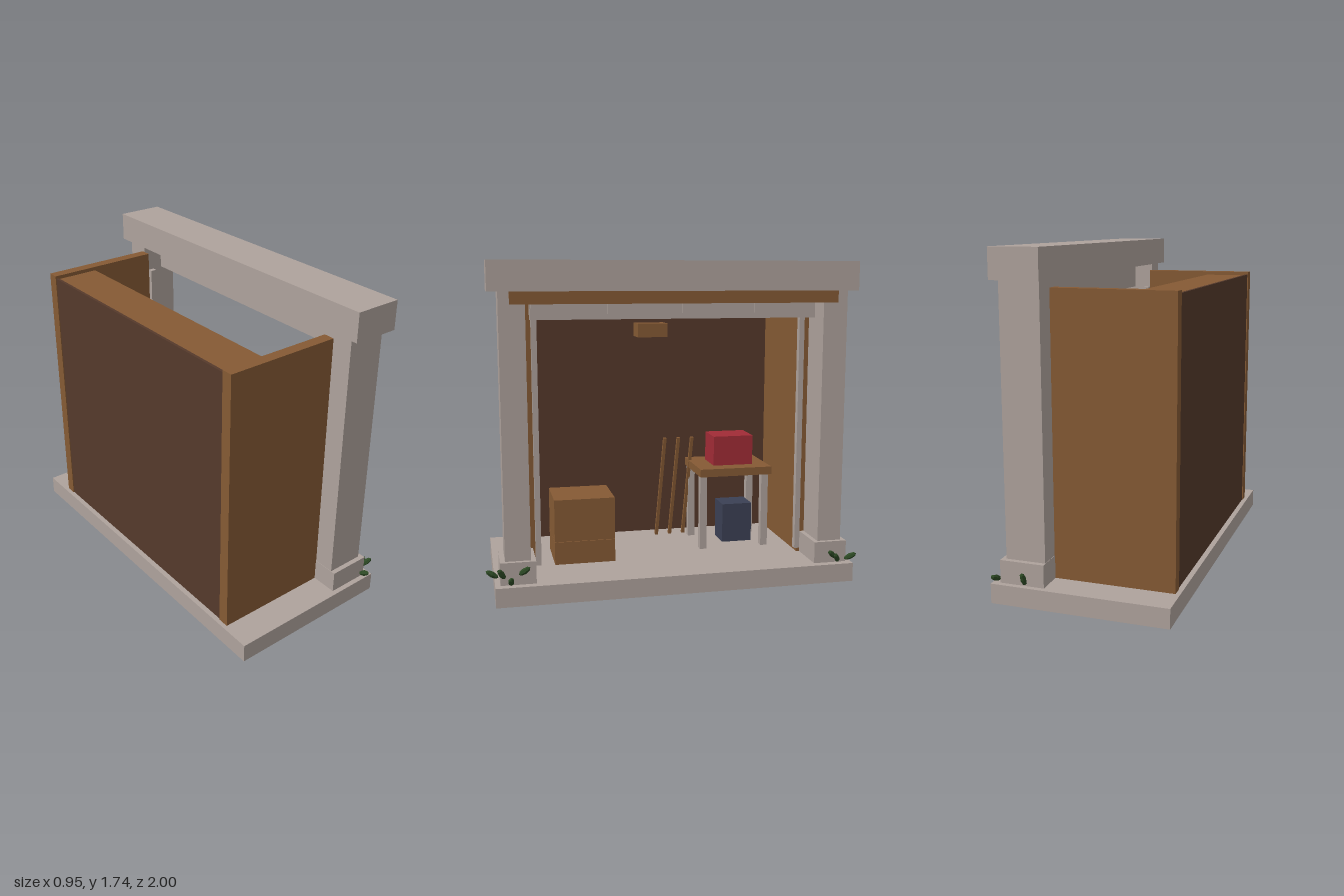
import * as THREE from 'three';

const paint = (name, color) => {
  const m = new THREE.MeshStandardMaterial({ color });
  m.name = name;
  return m;
};

export function createModel() {
  const model = new THREE.Group();
  model.name = 'openShed';
  const stone = paint('stone', 0xaea29c);
  const wood = paint('wood', 0x855a34);
  const darkWood = paint('darkWood', 0x55392b);
  const red = paint('red', 0xa12c36);
  const blue = paint('blue', 0x3b4054);
  const green = paint('leafGreen', 0x2d4a25);
  green.flatShading = true;

  // Box given by its limits on each axis
  const box = (name, mat, [x0, x1], [y0, y1], [z0, z1]) => {
    const mesh = new THREE.Mesh(new THREE.BoxGeometry(x1 - x0, y1 - y0, z1 - z0), mat);
    mesh.position.set((x0 + x1) / 2, (y0 + y1) / 2, (z0 + z1) / 2);
    mesh.name = name;
    model.add(mesh);
    return mesh;
  };
  // Mirrors a z range about the middle of the building
  const midZ = -0.01;
  const onSide = (s, a, b) => (s > 0 ? [midZ + a, midZ + b] : [midZ - b, midZ - a]);

  // Floor and lintel
  box('floorSlab', stone, [-0.478, 0.441], [0.008, 0.11], [-0.975, 0.955]);
  box('lintel', stone, [0.147, 0.4], [1.59, 1.742], [-0.975, 0.955]);
  box('lintelBeam', wood, [0.33, 0.39], [1.527, 1.59], [-0.865, 0.847]);

  // Pillars, side walls and door tracks
  for (const s of [1, -1]) {
    box('pillar', stone, [0.17, 0.377], [0.11, 1.59], onSide(s, 0.78, 0.912));
    box('pillarBase', stone, [0.168, 0.4], [0.11, 0.228], onSide(s, 0.755, 0.938));
    box('sideWall', wood, [-0.455, 0.171], [0.11, 1.55], onSide(s, 0.738, 0.798));
    box('doorTrack', stone, [0.171, 0.205], [0.14, 1.45], onSide(s, 0.713, 0.742));
  }

  // Back wall and the remaining roof board
  box('backWall', darkWood, [-0.45, -0.435], [0.11, 1.535], [-0.748, 0.728]);
  box('roofBoard', wood, [-0.44, -0.2], [1.475, 1.53], [-0.748, 0.728]);
  box('wallBox', wood, [-0.436, -0.3], [1.312, 1.392], [-0.1, 0.078]);

  // Raised door with four panels
  box('raisedDoor', stone, [0.27, 0.315], [1.447, 1.59], [-0.765, 0.745]);
  for (let i = 0; i < 4; i++) {
    const z = 0.572 - i * 0.388;
    box('doorPanel', stone, [0.315, 0.323], [1.475, 1.575], [z - 0.168, z + 0.168]);
  }

  // Stacked crates
  box('lowerCrate', wood, [-0.18, 0.124], [0, 0.235], [0.292, 0.623]);
  box('upperCrate', wood, [-0.18, 0.124], [0.237, 0.47], [0.292, 0.623]);

  // Table with things on and below it
  box('tableTop', wood, [-0.34, 0.03], [0.535, 0.58], [-0.64, -0.218]);
  for (const x of [-0.285, -0.005]) {
    for (const z of [-0.24, -0.605]) {
      box('tableLeg', stone, [x - 0.02, x + 0.02], [0.11, 0.535], [z - 0.02, z + 0.02]);
    }
  }
  box('redBox', red, [-0.25, -0.063], [0.58, 0.75], [-0.553, -0.32]);
  box('blueBin', blue, [-0.25, -0.094], [0.11, 0.338], [-0.562, -0.385]);

  // Leaning sticks
  const up = new THREE.Vector3(0, 1, 0);
  for (let i = 0; i < 3; i++) {
    const foot = new THREE.Vector3(-0.31, 0.12, -0.032 - i * 0.082);
    const tip = new THREE.Vector3(-0.25, 0.72, -0.072 - i * 0.082);
    const dir = tip.clone().sub(foot);
    const stick = new THREE.Mesh(new THREE.BoxGeometry(0.02, dir.length(), 0.018), wood);
    stick.quaternion.setFromUnitVectors(up, dir.clone().normalize());
    stick.position.copy(foot).addScaledVector(dir, 0.5);
    stick.name = 'leaningStick';
    model.add(stick);
  }

  // Leaves around the pillar bases: centre, then the way each points
  const leafShape = new THREE.SphereGeometry(1, 6, 4).scale(0.016, 0.037, 0.016);
  const leaves = [
    [0.363, 0.162, 0.968, 0.0, 0.5, 0.8],
    [0.425, 0.18, 0.922, 0.4, 0.8, 0.5],
    [0.44, 0.142, 0.875, 0.7, 0.6, 0.0],
    [0.415, 0.185, 0.806, 0.3, 0.6, -0.8],
    [0.415, 0.16, -0.862, 0.4, 0.6, 0.7],
    [0.412, 0.138, -0.89, 0.5, 0.7, 0.4],
    [0.415, 0.142, -0.968, 0.2, 0.4, -0.8],
    [0.27, 0.15, -0.962, 0.1, 0.8, -0.3],
  ];
  for (const [x, y, z, dx, dy, dz] of leaves) {
    const leaf = new THREE.Mesh(leafShape, green);
    leaf.position.set(x, y, z);
    leaf.quaternion.setFromUnitVectors(up, new THREE.Vector3(dx, dy, dz).normalize());
    leaf.name = 'leaf';
    model.add(leaf);
  }
  return model;
}
